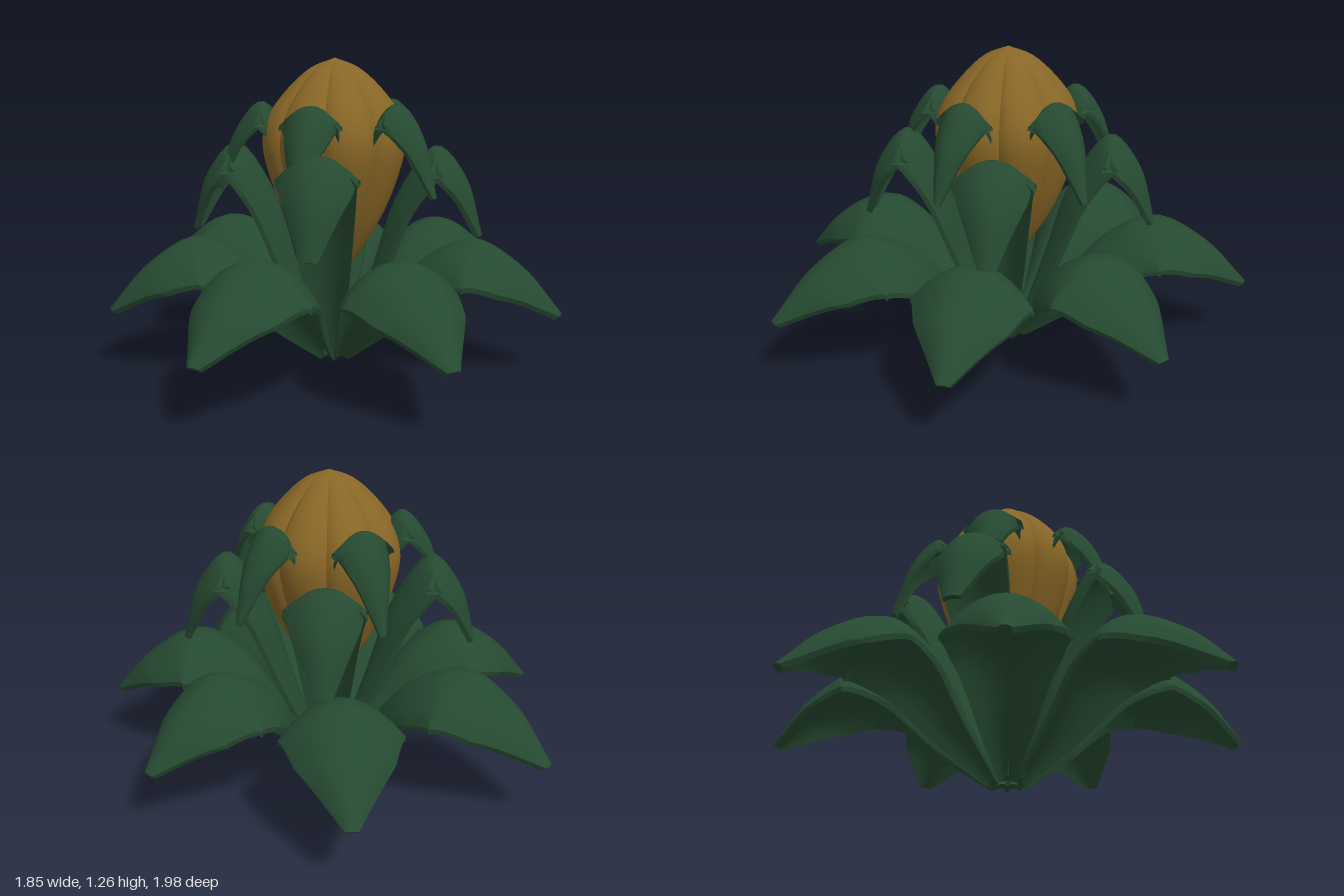
import * as THREE from 'three';
import { toCreasedNormals } from 'three/addons/utils/BufferGeometryUtils.js';

const spline = (pts) => new THREE.CatmullRomCurve3(pts.map(([a, b]) => new THREE.Vector3(a, b, 0)));

// Arched solid petal along +x. line: [radius, height] of the spine; arch: [half width, edge droop]
function petalGeometry(line, arch, thick, stations = 24, across = 10) {
  const spine = spline(line), shape = spline(arch);
  const pos = [], idx = [], ring = 2 * (across + 1);
  for (let j = 0; j <= stations; j++) {
    const t = j / stations;
    const c = spine.getPoint(t), d = spine.getTangent(t), a = shape.getPoint(t);
    for (let i = 0; i < ring; i++) {
      const under = i > across;
      const s = ((under ? ring - 1 - i : i) / across) * 2 - 1;
      const drop = a.y * s * s + (under ? thick : 0);
      pos.push(c.x + d.y * drop, c.y - d.x * drop, a.x * s);
    }
  }
  for (let j = 0; j < stations; j++) {
    for (let i = 0; i < ring; i++) {
      const n = (i + 1) % ring, p = j * ring, q = p + ring;
      idx.push(p + i, p + n, q + n, p + i, q + n, q + i);
    }
  }
  // Close the base and the blunt tip
  const e = stations * ring;
  for (let i = 0; i < across; i++) {
    const u = ring - 1 - i;
    idx.push(e + u, e + i, e + i + 1, e + u, e + i + 1, e + u - 1);
    idx.push(u, i + 1, i, u, u - 1, i + 1);
  }
  const g = new THREE.BufferGeometry();
  g.setAttribute('position', new THREE.Float32BufferAttribute(pos, 3));
  g.setIndex(idx);
  return toCreasedNormals(g, 0.75);
}

// Ribbed bud: a turned profile pinched into eight lobes
function budGeometry() {
  const profile = spline([[0.02, 0.36], [0.1, 0.46], [0.19, 0.6], [0.26, 0.76], [0.3, 0.93],
    [0.275, 1.04], [0.205, 1.14], [0.1, 1.235], [0, 1.275]]).getPoints(32)
    .map((p) => new THREE.Vector2(Math.max(p.x, 0), p.y));
  const g = new THREE.LatheGeometry(profile, 96);
  const p = g.attributes.position;
  for (let i = 0; i < p.count; i++) {
    const x = p.getX(i), z = p.getZ(i);
    const k = 1 - 0.11 * (1 - Math.pow(Math.abs(Math.sin(4 * Math.atan2(z, x))), 0.6));
    p.setXYZ(i, x * k, p.getY(i), z * k);
  }
  g.deleteAttribute('uv');
  return toCreasedNormals(g, 0.6);
}

export function createModel() {
  const green = new THREE.MeshStandardMaterial({ color: 0x264a31 });
  green.name = 'leaf green';
  const gold = new THREE.MeshStandardMaterial({ color: 0x886626 });
  gold.name = 'bud gold';

  const model = new THREE.Group();
  model.name = 'flower';
  const plant = new THREE.Group();
  plant.name = 'blossom';
  plant.position.x = -0.01;
  model.add(plant);

  // Ring of petals, one per entry in reach (its radial stretch)
  function addTier(name, geometry, reach, startAngle) {
    const tier = new THREE.Group();
    tier.name = name + 's';
    reach.forEach((k, i) => {
      const petal = new THREE.Mesh(geometry, green);
      petal.name = name;
      petal.rotation.y = -(startAngle + (i * 2 * Math.PI) / reach.length);
      petal.scale.x = k;
      tier.add(petal);
    });
    plant.add(tier);
  }

  // Wide drooping petals at the bottom
  addTier('outerPetal', petalGeometry(
    [[0.035, 0.04], [0.19, 0.23], [0.37, 0.46], [0.57, 0.555], [0.77, 0.45], [0.93, 0.27]],
    [[0.03, 0.02], [0.11, 0.07], [0.2, 0.12], [0.24, 0.15], [0.18, 0.1], [0.025, 0.01]], 0.022),
  [1, 1.01, 1.09, 1.09, 1, 1.09, 1.09], 0);

  // Upright petals around the bud
  addTier('middlePetal', petalGeometry(
    [[0.04, 0.05], [0.15, 0.38], [0.27, 0.74], [0.42, 0.925], [0.54, 0.8], [0.61, 0.56]],
    [[0.03, 0.02], [0.09, 0.05], [0.135, 0.08], [0.16, 0.1], [0.13, 0.07], [0.035, 0.01]], 0.02),
  [1, 1, 1, 1], Math.PI / 4);

  // Small petals curling out of the bud
  addTier('innerPetal', petalGeometry(
    [[0.04, 0.42], [0.12, 0.72], [0.19, 0.97], [0.3, 1.1], [0.41, 0.98], [0.485, 0.74]],
    [[0.02, 0.01], [0.06, 0.03], [0.1, 0.06], [0.122, 0.085], [0.085, 0.05], [0.012, 0.005]], 0.015),
  [1, 1, 1, 1, 1], 0);

  const bud = new THREE.Mesh(budGeometry(), gold);
  bud.name = 'bud';
  plant.add(bud);
  return model;
}
